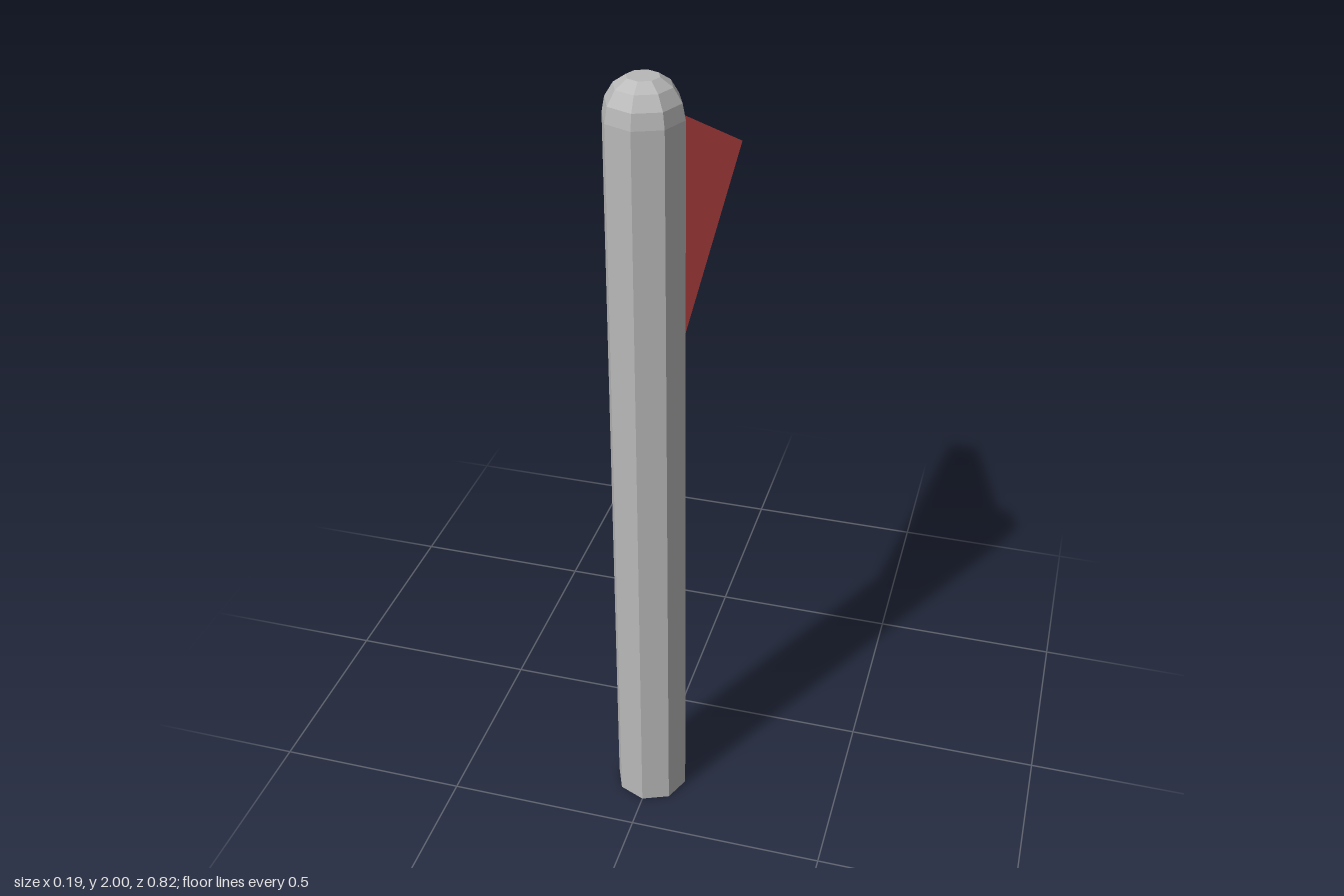
import * as THREE from 'three';

export function createModel() {
  const model = new THREE.Group();
  const grey = new THREE.MeshStandardMaterial({ color: 0xb8b8b8, flatShading: true });
  grey.name = 'pole grey';
  const red = new THREE.MeshStandardMaterial({ color: 0xe05252, flatShading: true });
  red.name = 'flag red';

  // Eight-sided pole with a rounded, flat-topped cap
  const profile = [
    [0, 0], [0.094, 0], [0.094, 1.91], [0.087, 1.947],
    [0.067, 1.98], [0.038, 2], [0, 2],
  ].map(([r, y]) => new THREE.Vector2(r, y));
  const pole = new THREE.Mesh(new THREE.LatheGeometry(profile, 8), grey);
  pole.name = 'pole';
  pole.position.z = 0.315;
  model.add(pole);

  // Thick triangular pennant pointing backwards
  const outline = new THREE.Shape([
    new THREE.Vector2(-0.242, 1.25),
    new THREE.Vector2(0.41, 1.575),
    new THREE.Vector2(-0.242, 1.9),
  ]);
  const thickness = 0.094;
  const flagGeometry = new THREE.ExtrudeGeometry(outline, { depth: thickness, bevelEnabled: false });
  flagGeometry.translate(0, 0, -thickness / 2).rotateY(Math.PI / 2);
  const flag = new THREE.Mesh(flagGeometry, red);
  flag.name = 'flag';
  model.add(flag);

  return model;
}
